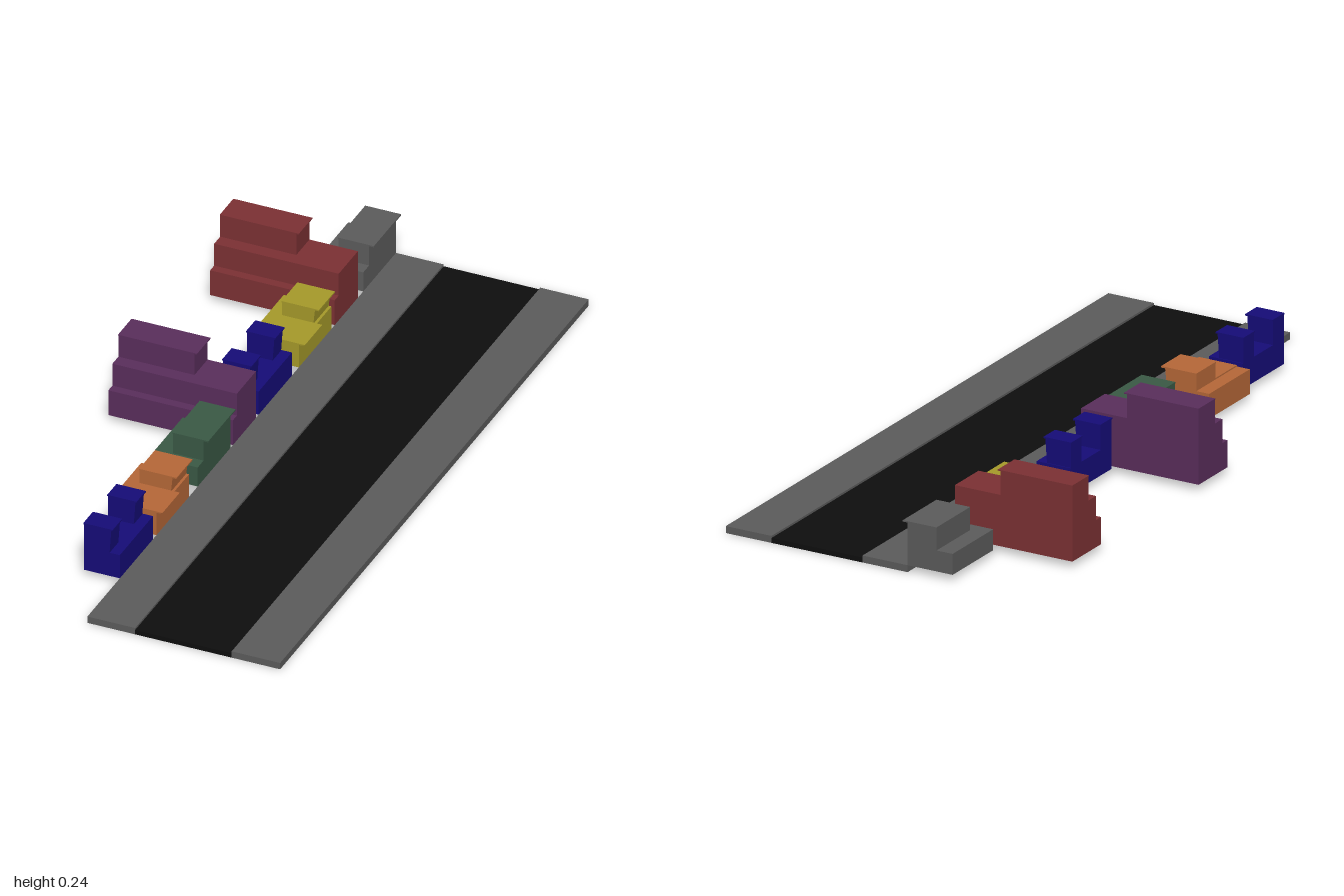
import * as THREE from 'three';

const material = (color) => new THREE.MeshStandardMaterial({ color, flatShading: true });

// Box given by its extents; flare pushes the top edge facing the street outward
function block(name, mat, [x0, x1], [y0, y1], [z0, z1], flare = 0) {
  const geo = new THREE.BoxGeometry(x1 - x0, y1 - y0, z1 - z0);
  geo.translate((x0 + x1) / 2, (y0 + y1) / 2, (z0 + z1) / 2);
  const p = geo.attributes.position;
  for (let i = 0; i < p.count; i++) {
    if (p.getX(i) > x1 - 1e-4 && p.getY(i) > y1 - 1e-4) p.setX(i, x1 + flare);
  }
  geo.computeVertexNormals();
  const mesh = new THREE.Mesh(geo, mat);
  mesh.name = name;
  return mesh;
}

function building(name, color, z, build) {
  const g = new THREE.Group();
  g.name = name;
  g.position.z = z;
  const mat = material(color);
  build((...args) => g.add(block(args[0], mat, ...args.slice(1))));
  return g;
}

// Each house is described from its back edge (z = 0) forward
const G = 0.02;
function twinTowerHouse(add) {
  add('base', [-0.205, -0.1], [G, 0.093], [0, 0.215]);
  add('rearTower', [-0.205, -0.13], [0.093, 0.163], [0.003, 0.058], 0.005);
  add('frontTower', [-0.205, -0.13], [0.093, 0.163], [0.158, 0.215], 0.005);
  add('rearRoof', [-0.207, -0.121], [0.163, 0.167], [0, 0.06]);
  add('frontRoof', [-0.207, -0.121], [0.163, 0.167], [0.153, 0.215]);
}

function cornerTowerHouse(add) {
  add('base', [-0.24, -0.1], [G, 0.091], [0, 0.212]);
  add('porchRoof', [-0.2, -0.09], [0.091, 0.095], [0.1, 0.212], 0.008);
  add('tower', [-0.2, -0.108], [0.091, 0.137], [0, 0.1], 0.005);
  add('towerRoof', [-0.2, -0.09], [0.137, 0.141], [0, 0.103]);
}

function steppedHouse(add) {
  add('base', [-0.24, -0.1], [G, 0.08], [0, 0.212]);
  add('tower', [-0.19, -0.1], [0.08, 0.142], [0, 0.174]);
  add('roof', [-0.19, -0.085], [0.142, 0.146], [0, 0.176]);
}

function terracedHall(add) {
  add('lowerFloor', [-0.465, -0.1], [G, 0.098], [0, 0.15]);
  add('middleFloor', [-0.465, -0.1], [0.098, 0.167], [0, 0.124]);
  add('upperFloor', [-0.465, -0.242], [0.167, 0.235], [0, 0.085]);
  add('upperRoof', [-0.465, -0.233], [0.235, 0.238], [0, 0.088]);
}

export function createModel() {
  const model = new THREE.Group();
  model.name = 'streetRow';

  // Street with a pavement on both sides
  const paving = material(0x5c5c5c);
  model.add(
    block('road', material(0x0e0e0e), [0.04, 0.323], [0, 0.014], [-1, 1]),
    block('rightPavement', paving, [-0.1, 0.04], [0, 0.02], [-1, 1]),
    block('leftPavement', paving, [0.323, 0.465], [0, 0.02], [-1, 1]),
  );

  // Row of houses from back to front
  const row = [
    ['greyHouse', 0x5c5c5c, -1, steppedHouse],
    ['redHall', 0x7c3134, -0.753, terracedHall],
    ['yellowHouse', 0xa69a2a, -0.582, cornerTowerHouse],
    ['rearBlueHouse', 0x150c78, -0.325, twinTowerHouse],
    ['purpleHall', 0x5a2e5c, -0.093, terracedHall],
    ['greenHouse', 0x3a5945, 0.073, steppedHouse],
    ['orangeHouse', 0xb66838, 0.341, cornerTowerHouse],
    ['frontBlueHouse', 0x150c78, 0.575, twinTowerHouse],
  ];
  for (const entry of row) model.add(building(...entry));
  return model;
}
